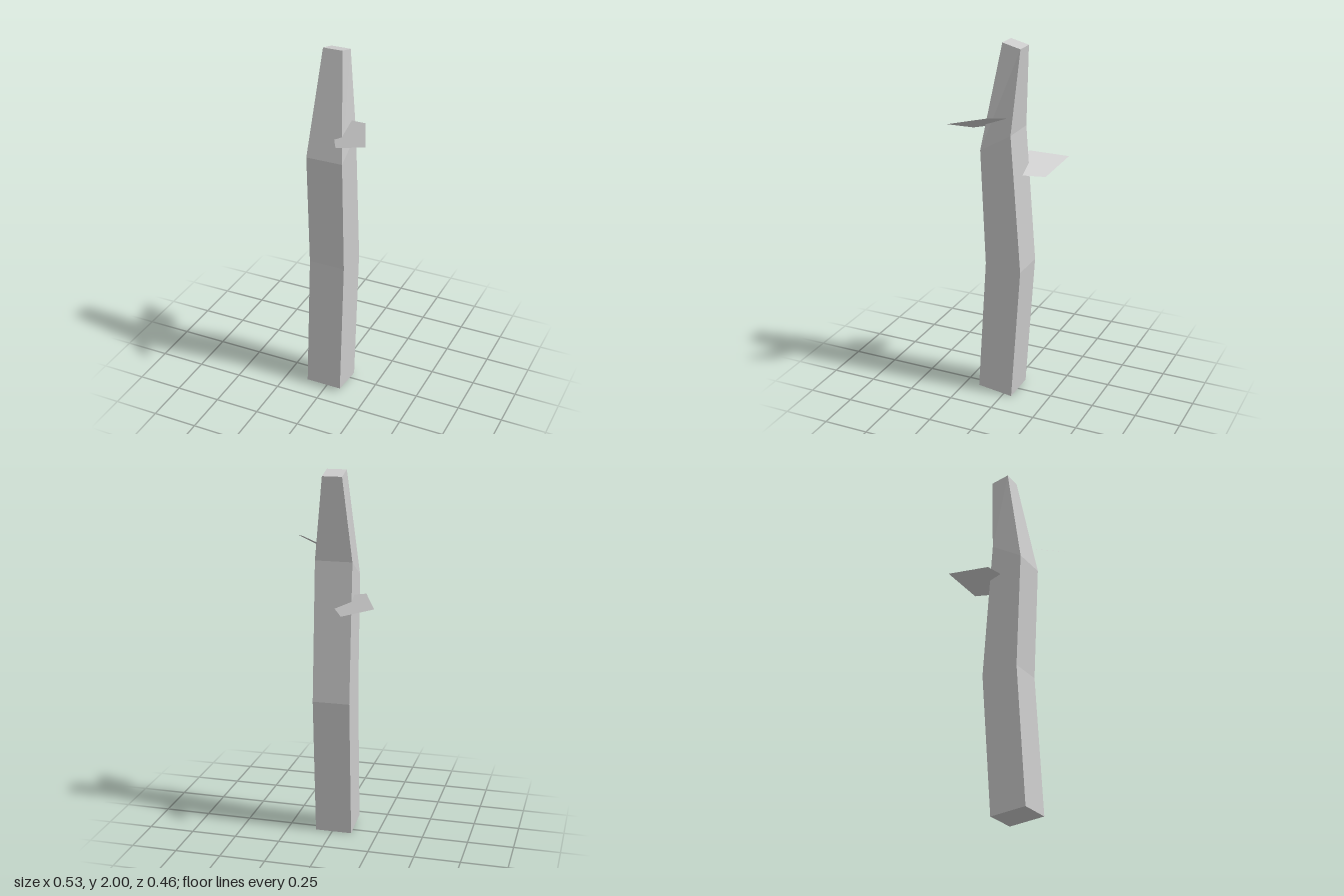
import * as THREE from 'three';

const makeMaterial = (side = THREE.FrontSide) =>
  new THREE.MeshStandardMaterial({ color: 0xcccccc, flatShading: true, side });

function facetedMesh(name, points, faces, material) {
  let geometry = new THREE.BufferGeometry();
  geometry.setAttribute('position', new THREE.Float32BufferAttribute(points.flat(), 3));
  geometry.setIndex(faces);
  geometry = geometry.toNonIndexed();
  geometry.computeVertexNormals();
  const mesh = new THREE.Mesh(geometry, material);
  mesh.name = name;
  return mesh;
}

// Square stem that bends backward and forward, then tapers to a cut tip
function createStem() {
  // Each section: left x, right x, front z, front y, back z, back y
  const sections = [
    [-0.108, 0.094, 0.148, 0.025, -0.05, 0],
    [-0.108, 0.094, 0.1, 0.79, -0.103, 0.77],
    [-0.108, 0.094, 0.127, 1.43, -0.046, 1.53],
    [-0.06, 0.046, 0.021, 2, -0.079, 1.975],
  ];
  const points = sections.flatMap(([x0, x1, zf, yf, zb, yb]) => [
    [x0, yf, zf], [x1, yf, zf], [x1, yb, zb], [x0, yb, zb],
  ]);
  const faces = [0, 2, 1, 0, 3, 2];
  for (let s = 0; s < sections.length - 1; s++) {
    for (let i = 0; i < 4; i++) {
      const a = s * 4 + i, b = s * 4 + (i + 1) % 4;
      faces.push(a, b, b + 4, a, b + 4, a + 4);
    }
  }
  const t = (sections.length - 1) * 4;
  faces.push(t, t + 1, t + 2, t, t + 2, t + 3);
  return facetedMesh('stem', points, faces, makeMaterial());
}

// Thin pointed leaf, its narrow base buried in the stem
function createLeaf(name) {
  const points = [
    [0.002, 1.559, 0.038],
    [0.078, 1.543, 0.172],
    [0.267, 1.608, 0.228],
    [0.181, 1.64, 0.034],
    [0.035, 1.604, -0.04],
  ];
  return facetedMesh(name, points, [0, 1, 3, 0, 3, 4, 1, 2, 3], makeMaterial(THREE.DoubleSide));
}

export function createModel() {
  const model = new THREE.Group();
  model.name = 'plantStem';
  const upperLeaf = createLeaf('upperLeaf');
  // Lower leaf is the same leaf turned to the opposite side
  const lowerLeaf = createLeaf('lowerLeaf');
  lowerLeaf.rotation.y = Math.PI;
  lowerLeaf.position.y = -0.274;
  model.add(createStem(), upperLeaf, lowerLeaf);
  return model;
}
